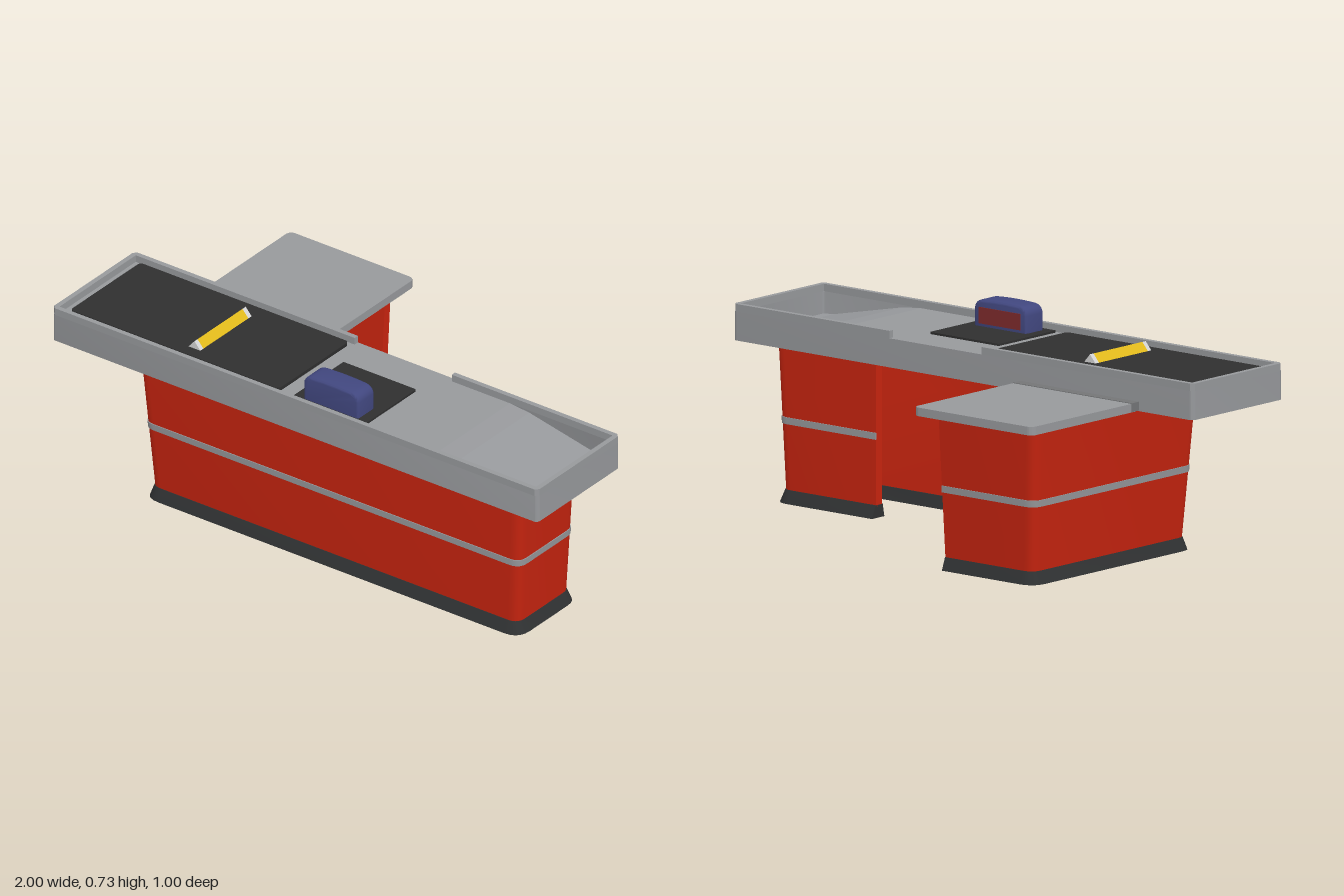
import * as THREE from 'three';
import { toCreasedNormals } from 'three/addons/utils/BufferGeometryUtils.js';

const mat = (name, color) => Object.assign(new THREE.MeshStandardMaterial({ color }), { name });

// Plan of the counter wall: bottom corner, top corner (x, z) and outward direction
const CORNERS = [
  [0.43, 0.1, 0.43, 0.1, 0, -1],
  [0.84, 0.1, 0.872, 0.1, 1, -1],
  [0.84, 0.39, 0.872, 0.413, 1, 1],
  [-0.67, 0.39, -0.71, 0.413, -1, 1],
  [-0.67, -0.385, -0.71, -0.42, -1, -1],
  [-0.29, -0.385, -0.29, -0.42, 0, -1],
];

// Rounded wall line at height y, moved outward by d
function wallLine(y, d) {
  const t = (y - 0.04) / 0.49;
  const c = CORNERS.map(([x0, z0, x1, z1, ox, oz]) =>
    new THREE.Vector3(x0 + (x1 - x0) * t + ox * d, y, z0 + (z1 - z0) * t + oz * d));
  const r = Math.max(0.01, 0.04 + d);
  const pts = [c[0]];
  for (let i = 1; i < c.length - 1; i++) {
    const a = c[i - 1].clone().sub(c[i]).setLength(r).add(c[i]);
    const b = c[i + 1].clone().sub(c[i]).setLength(r).add(c[i]);
    pts.push(...new THREE.QuadraticBezierCurve3(a, c[i], b).getPoints(5));
  }
  pts.push(c[c.length - 1]);
  return pts;
}

// Solid strip along the wall; section = [outer bottom, outer top, inner top, inner bottom] as [y, d]
function wallStrip(section) {
  const lines = section.map(([y, d]) => wallLine(y, d));
  const pos = [];
  const quad = (a, b, c, d) => [a, b, c, a, c, d].forEach((p) => pos.push(p.x, p.y, p.z));
  const n = lines[0].length;
  for (let i = 0; i < n - 1; i++) {
    for (let k = 0; k < 4; k++) {
      const p = lines[k], q = lines[(k + 1) % 4];
      quad(p[i], q[i], q[i + 1], p[i + 1]);
    }
  }
  const [s, e] = [0, n - 1].map((i) => lines.map((l) => l[i]));
  quad(s[0], s[3], s[2], s[1]);
  quad(e[0], e[1], e[2], e[3]);
  const g = new THREE.BufferGeometry();
  g.setAttribute('position', new THREE.Float32BufferAttribute(pos, 3));
  return toCreasedNormals(g, 0.5);
}

// Rounded rectangle in plan (x, -z)
function plan(x0, x1, z0, z1, r, Type = THREE.Shape) {
  const s = new Type();
  const corner = (x, z, a) => s.absarc(x, -z, r, a, a + Math.PI / 2, false);
  corner(x1 - r, z0 + r, 0);
  corner(x0 + r, z0 + r, Math.PI / 2);
  corner(x0 + r, z1 - r, Math.PI);
  corner(x1 - r, z1 - r, Math.PI * 1.5);
  s.closePath();
  return s;
}

// Extrude a plan shape upward from y0 to y1
function raise(shape, y0, y1) {
  const g = new THREE.ExtrudeGeometry(shape, { depth: y1 - y0, bevelEnabled: false, curveSegments: 5 });
  return toCreasedNormals(g.rotateX(-Math.PI / 2).translate(0, y0, 0), 0.6);
}

export function createModel() {
  const root = new THREE.Group();
  root.name = 'checkoutCounter';
  const red = mat('red panel', 0xc8240f);
  const grey = mat('grey plastic', 0x97999c);
  const darkGrey = mat('dark grey', 0x747577);
  const black = mat('black rubber', 0x2f2f2f);
  const base = mat('plinth black', 0x303233);
  const blue = mat('blue casing', 0x41477f);
  const screenRed = mat('screen red', 0x7d2a2c);
  const yellow = mat('yellow', 0xe3bb1c);
  const white = mat('light grey', 0xd4d4d4);
  const add = (name, geo, m) => {
    const mesh = new THREE.Mesh(geo, m);
    mesh.name = name;
    root.add(mesh);
    return mesh;
  };

  // Counter walls, plinth and stripe
  add('wall', wallStrip([[0.035, 0], [0.535, 0], [0.535, -0.03], [0.035, -0.03]]), red);
  add('plinth', wallStrip([[0, 0.021], [0.043, 0.002], [0.043, -0.034], [0, -0.042]]), base);
  add('stripe', wallStrip([[0.264, 0.003], [0.287, 0.003], [0.287, -0.001], [0.264, -0.001]]), grey);

  // Tray: full lower ring, then a rim left open at the cashier's side
  const lower = plan(-1, 1, 0.04, 0.495, 0.015);
  lower.holes.push(plan(-0.982, 0.982, 0.058, 0.477, 0.008, THREE.Path));
  add('trayWall', raise(lower, 0.532, 0.63), grey);
  const rim = new THREE.Shape();
  [[-0.08, 0.04], [-0.988, 0.04], [-1, 0.052], [-1, 0.483], [-0.988, 0.495], [0.988, 0.495],
    [1, 0.483], [1, 0.052], [0.988, 0.04], [0.32, 0.04], [0.32, 0.058], [0.982, 0.058],
    [0.982, 0.477], [-0.982, 0.477], [-0.982, 0.058], [-0.08, 0.058]]
    .forEach(([x, z], i) => (i ? rim.lineTo(x, -z) : rim.moveTo(x, -z)));
  add('trayRim', raise(rim, 0.63, 0.655), grey);

  // Tray floor, dropping into the bagging well
  const floor = new THREE.Shape();
  [[-0.985, 0.533], [0.985, 0.533], [0.985, 0.555], [0.94, 0.558], [0.64, 0.622], [0.56, 0.63], [-0.985, 0.63]]
    .forEach(([x, y], i) => (i ? floor.lineTo(x, y) : floor.moveTo(x, y)));
  add('trayFloor', new THREE.ExtrudeGeometry(floor, { depth: 0.425, bevelEnabled: false }).translate(0, 0, 0.055), grey);
  add('trayUnderside', new THREE.BoxGeometry(0.54, 0.006, 0.28).translate(0.17, 0.531, 0.24), black);

  // Conveyor belt and scanner pad
  add('conveyorBelt', raise(plan(-0.955, -0.095, 0.07, 0.455, 0.015), 0.625, 0.642), black);
  add('scannerPad', raise(plan(-0.035, 0.265, 0.18, 0.47, 0.004), 0.625, 0.637), black);

  // Triangular divider bar with pale end caps
  const prism = (z0, z1) => {
    const tri = new THREE.Shape();
    tri.moveTo(-0.5, 0.641);
    tri.lineTo(-0.45, 0.641);
    tri.lineTo(-0.475, 0.67);
    return new THREE.ExtrudeGeometry(tri, { depth: z1 - z0, bevelEnabled: false }).translate(0, 0, z0);
  };
  add('dividerBar', prism(0.148, 0.395), yellow);
  add('dividerCapBack', prism(0.13, 0.148), white);
  add('dividerCapFront', prism(0.395, 0.412), white);

  // Terminal with domed top and a screen facing the cashier
  const face = new THREE.Shape();
  face.moveTo(0.012, 0.636);
  face.lineTo(0.218, 0.636);
  face.lineTo(0.219, 0.695);
  face.quadraticCurveTo(0.217, 0.714, 0.195, 0.716);
  face.quadraticCurveTo(0.115, 0.722, 0.035, 0.716);
  face.quadraticCurveTo(0.013, 0.714, 0.011, 0.695);
  const casing = new THREE.ExtrudeGeometry(face, {
    depth: 0.07, bevelThickness: 0.01, bevelSize: 0.01, bevelSegments: 3, curveSegments: 6,
  }).translate(0, 0, 0.37);
  add('terminal', toCreasedNormals(casing, 0.7), blue);
  add('terminalScreen', new THREE.BoxGeometry(0.18, 0.055, 0.006).translate(0.115, 0.674, 0.36), screenRed);

  // Cashier's desk behind the belt, with its joining strip
  add('desk', raise(plan(-0.765, -0.25, -0.5, 0.04, 0.022), 0.533, 0.562), grey);
  add('deskJoint', new THREE.BoxGeometry(0.517, 0.03, 0.036).translate(-0.5075, 0.549, 0.022), darkGrey);
  return root;
}
